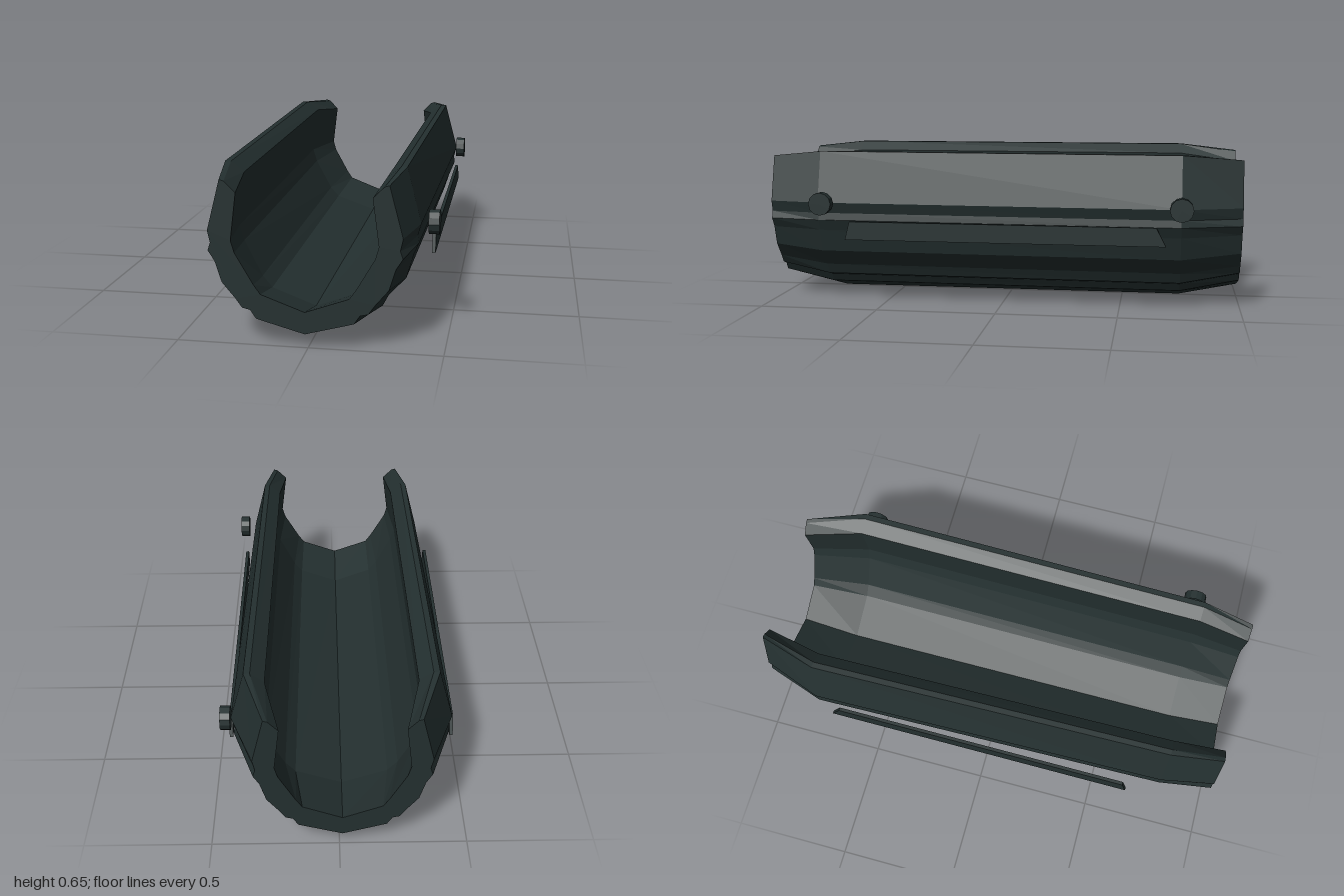
import * as THREE from 'three';

// Half profiles, from the bottom centre up to the rim
const MID_OUTER = [[0, 0.003], [0.212, 0.06], [0.237, 0.095], [0.277, 0.105], [0.302, 0.15], [0.372, 0.22],
  [0.402, 0.315], [0.422, 0.36], [0.417, 0.39], [0.43, 0.435], [0.372, 0.65], [0.347, 0.65]];
const MID_INNER = [[0, 0.09], [0.185, 0.155], [0.225, 0.2], [0.3, 0.34], [0.318, 0.4], [0.293, 0.61]];
const END_OUTER = [[0, 0.055], [0.183, 0.105], [0.205, 0.138], [0.235, 0.145], [0.26, 0.18], [0.31, 0.24],
  [0.335, 0.32], [0.36, 0.36], [0.35, 0.39], [0.36, 0.435], [0.31, 0.627], [0.292, 0.622]];
const END_INNER = [[0, 0.14], [0.165, 0.2], [0.19, 0.235], [0.26, 0.355], [0.273, 0.4], [0.25, 0.58]];
const CENTRE = -0.012;

// Closed ring: outer wall left to right, then inner wall back again
function ring(outer, inner, scale, z) {
  const mirror = (p) => p.slice(1).reverse().map(([x, y]) => [-x, y]);
  const full = (p) => [...mirror(p), ...p];
  return [...full(outer), ...full(inner).reverse()]
    .map(([x, y]) => new THREE.Vector3(x * scale + CENTRE, y, z));
}

function loft(rings) {
  const pos = [];
  const tri = (a, b, c) => pos.push(...a.toArray(), ...b.toArray(), ...c.toArray());
  const n = rings[0].length;
  for (let s = 0; s < rings.length - 1; s++) {
    const a = rings[s], b = rings[s + 1];
    for (let i = 0; i < n; i++) {
      const j = (i + 1) % n;
      tri(a[i], a[j], b[j]);
      tri(a[i], b[j], b[i]);
    }
  }
  // End faces
  const cap = (r, front) => {
    const flat = r.map((p) => new THREE.Vector2(p.x, p.y));
    for (const [i, j, k] of THREE.ShapeUtils.triangulateShape(flat, [])) {
      if (front) tri(r[i], r[j], r[k]);
      else tri(r[i], r[k], r[j]);
    }
  };
  cap(rings[0], false);
  cap(rings[rings.length - 1], true);
  const g = new THREE.BufferGeometry();
  g.setAttribute('position', new THREE.Float32BufferAttribute(pos, 3));
  g.computeVertexNormals();
  return g;
}

export function createModel() {
  const group = new THREE.Group();
  const darkGreenGrey = new THREE.MeshStandardMaterial({ color: 0x243030, flatShading: true });
  darkGreenGrey.name = 'darkGreenGrey';
  const add = (name, geometry) => {
    const mesh = new THREE.Mesh(geometry, darkGreenGrey);
    mesh.name = name;
    group.add(mesh);
    return mesh;
  };

  // Open trough, tapering slightly to the front, pinched at both ends
  add('troughShell', loft([
    ring(END_OUTER, END_INNER, 0.935, -1),
    ring(MID_OUTER, MID_INNER, 1, -0.75),
    ring(MID_OUTER, MID_INNER, 0.935, 0.78),
    ring(END_OUTER, END_INNER, 1, 1),
  ]));

  // Side rails with slanted ends
  const railShape = new THREE.Shape([[-0.65, 0.285], [0.69, 0.285], [0.65, 0.362], [-0.63, 0.362]]
    .map(([u, v]) => new THREE.Vector2(u, v)));
  for (const [name, x] of [['leftRail', 0.42], ['rightRail', -0.46]]) {
    const g = new THREE.ExtrudeGeometry(railShape, { depth: 0.014, bevelEnabled: false });
    g.rotateY(Math.PI / 2);
    add(name, g).position.x = x;
  }

  // Round pegs on the left side
  for (const [name, z] of [['frontPeg', 0.75], ['backPeg', -0.75]]) {
    const g = new THREE.CylinderGeometry(0.048, 0.048, 0.04, 12);
    g.rotateZ(Math.PI / 2);
    add(name, g).position.set(0.438, 0.437, z);
  }
  return group;
}
